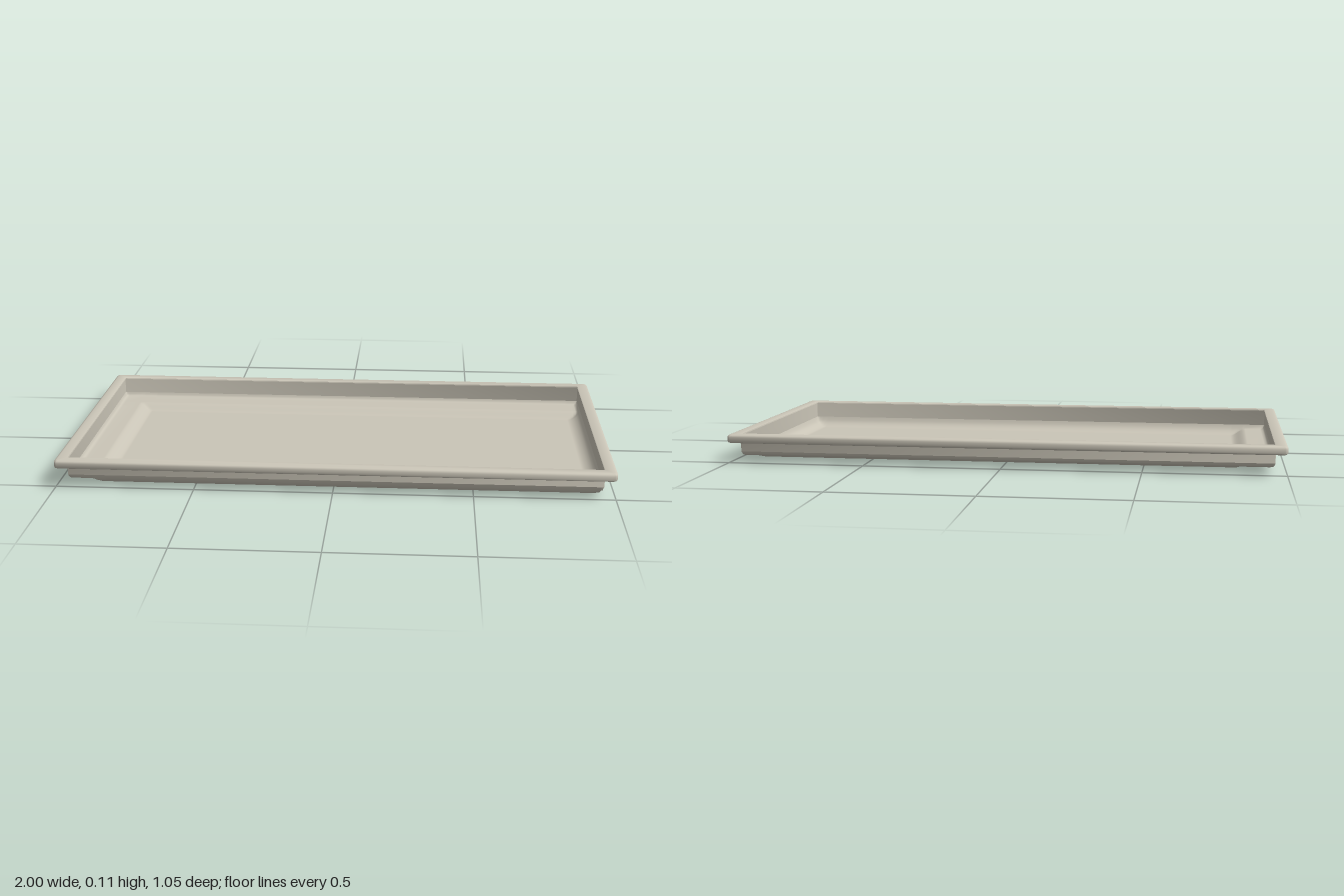
import * as THREE from 'three';
import { toCreasedNormals } from 'three/addons/utils/BufferGeometryUtils.js';

const HALF_X = 1, HALF_Z = 0.523;

function makeGeometry(positions, index) {
  const g = new THREE.BufferGeometry();
  g.setAttribute('position', new THREE.Float32BufferAttribute(positions, 3));
  g.setIndex(index);
  return g;
}

// Quads over a rows x cols grid of points
function gridIndex(rows, cols) {
  const index = [];
  for (let i = 0; i < rows - 1; i++) {
    for (let j = 0; j < cols - 1; j++) {
      const a = i * cols + j, b = a + 1, c = a + cols, d = c + 1;
      index.push(a, b, c, b, d, c);
    }
  }
  return index;
}

// Sweeps an [inset, y] profile around the tray, with slightly rounded corners
function sweepAround(profile) {
  const positions = [], corners = [[1, 1], [-1, 1], [-1, -1], [1, -1]], steps = 4;
  for (const [inset, y] of profile) {
    const r = Math.max(0.0015, 0.018 - inset);
    const ring = [];
    corners.forEach(([sx, sz], q) => {
      for (let k = 0; k <= steps; k++) {
        const a = (q + k / steps) * Math.PI / 2;
        ring.push([
          sx * (HALF_X - inset - r) + r * Math.cos(a), y,
          sz * (HALF_Z - inset - r) + r * Math.sin(a),
        ]);
      }
    });
    ring.push(ring[0]);
    ring.forEach((p) => positions.push(...p));
  }
  const cols = corners.length * (steps + 1) + 1;
  return toCreasedNormals(makeGeometry(positions, gridIndex(profile.length, cols)), 0.7);
}

// Floor section from the raised ledge, down the soft step, to the curved far edge
function floorSection(half, stepStart, stepEnd) {
  const pts = [[-half, 0.04], [-half + 0.003, 0.032], [-half + 0.008, 0.027], [-half + 0.017, 0.024]];
  for (let i = 0; i <= 8; i++) {
    const t = i / 8;
    pts.push([stepStart + (stepEnd - stepStart) * t, 0.024 * (1 - t * t * (3 - 2 * t))]);
  }
  pts.push([half - 0.05, 0], [half - 0.038, 0.002], [half - 0.026, 0.007],
    [half - 0.014, 0.015], [half - 0.005, 0.026], [half, 0.04]);
  return pts;
}

// The higher of the two crossing sections gives the floor height
function floorGeometry(inset) {
  const xs = floorSection(HALF_X - inset, -0.88, -0.82);
  const zs = floorSection(HALF_Z - inset, -0.4, -0.345);
  const positions = [];
  for (const [x, hx] of xs) {
    for (const [z, hz] of zs) positions.push(x, Math.max(hx, hz), z);
  }
  const g = makeGeometry(positions, gridIndex(xs.length, zs.length));
  g.computeVertexNormals();
  return g;
}

export function createModel() {
  const tray = new THREE.Group();
  tray.name = 'tray';
  const enamel = new THREE.MeshStandardMaterial({ color: 0xcac5b7, side: THREE.DoubleSide });
  enamel.name = 'warm grey';

  const add = (name, geometry) => {
    const mesh = new THREE.Mesh(geometry, enamel);
    mesh.name = name;
    tray.add(mesh);
  };

  const wallInset = 0.041;
  add('floor', floorGeometry(wallInset));
  add('walls', sweepAround([[wallInset, 0.04], [wallInset, 0.102]]));

  // Folded lip, hollow underneath
  add('rim', sweepAround([
    [wallInset + 0.004, 0.1], [wallInset + 0.003, 0.104], [wallInset, 0.106],
    [0.011, 0.106], [0.005, 0.104], [0.0015, 0.101], [0, 0.096],
    [0, 0.083], [0.002, 0.078], [0.008, 0.075],
  ]));
  return tray;
}
